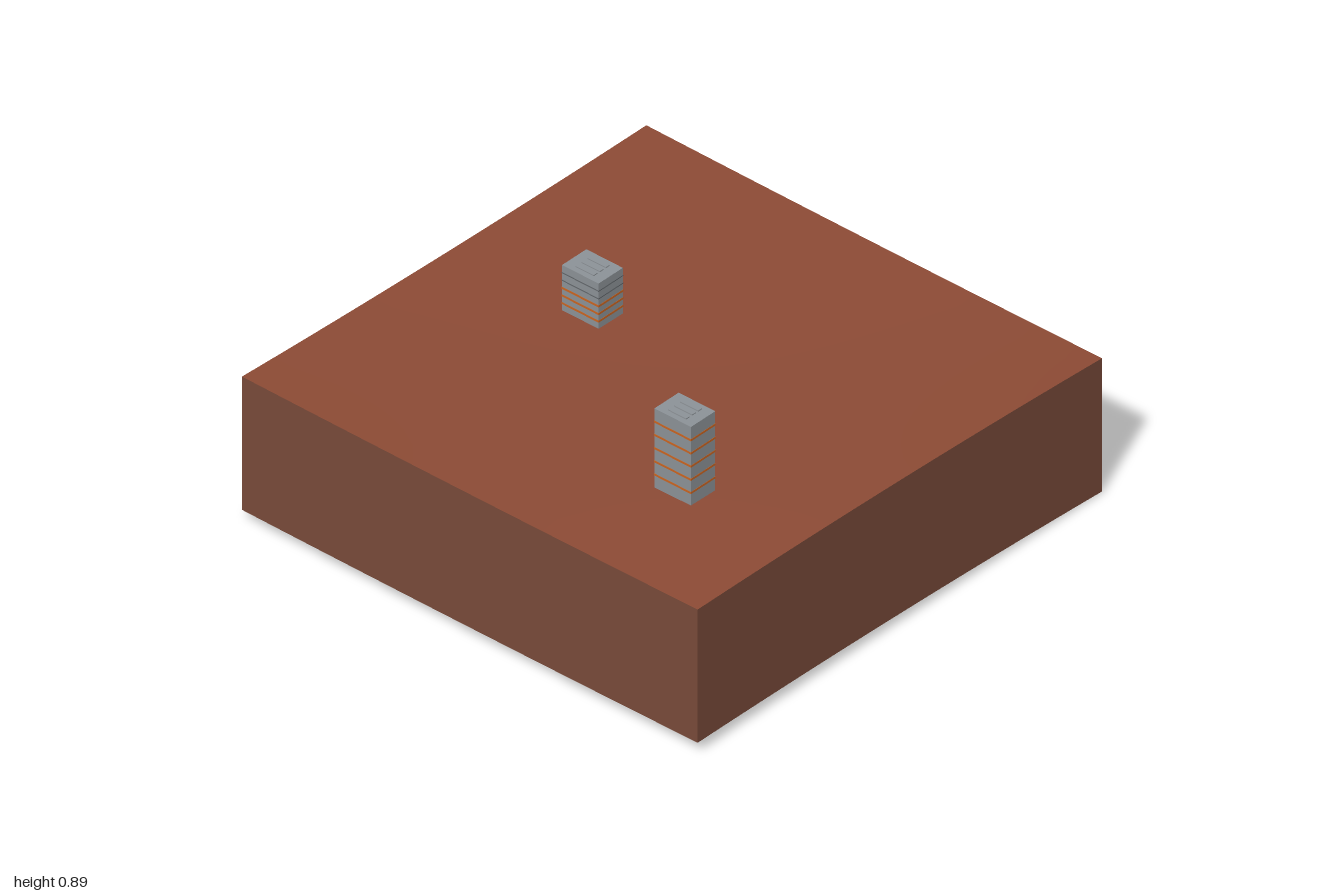
import * as THREE from 'three';

const DEPTH = 0.535;

// Gently rolling ground height
function height(x, z) {
  return 0.5625 - 0.0225 * x + (1 - x * x) * (0.013 * z + 0.001)
    - 0.012 * (1 - z * z) * (1 - 0.6 * x * x);
}

function mat(name, color, side = THREE.FrontSide) {
  const m = new THREE.MeshStandardMaterial({ color, side });
  m.name = name;
  return m;
}

function addMesh(parent, name, geometry, material) {
  const mesh = new THREE.Mesh(geometry, material);
  mesh.name = name;
  parent.add(mesh);
  return mesh;
}

function addBox(parent, name, size, pos, material) {
  addMesh(parent, name, new THREE.BoxGeometry(...size), material).position.set(...pos);
}

// Grid bent by a rule that maps each vertex in place
function bentPlane(nx, ny, rule) {
  const g = new THREE.PlaneGeometry(2, 2, nx, ny);
  const p = g.attributes.position;
  for (let i = 0; i < p.count; i++) p.setXYZ(i, ...rule(p.getX(i), p.getY(i)));
  g.computeVertexNormals();
  return g;
}

// Block of floors with a coloured band at each floor line and vents on the roof
function makeTower(name, x, z, floorHeight, orangeBands, m) {
  const tower = new THREE.Group();
  tower.name = name;
  const w = 0.12, d = 0.16, floors = 6, total = floors * floorHeight;
  addBox(tower, 'towerBody', [w, total, d], [0, total / 2, 0], m.concrete);
  for (let i = 1; i < floors; i++) {
    const lit = i <= orangeBands;
    addBox(tower, 'floorBand', [w + 0.002, lit ? 0.008 : 0.004, d + 0.002],
      [0, i * floorHeight, 0], lit ? m.orange : m.darkGrey);
  }
  for (let i = -1; i <= 1; i++) {
    addBox(tower, 'roofVent', [0.018, 0.004, 0.08], [i * 0.03, total + 0.002, 0], m.concrete);
  }
  tower.position.set(x, height(x, z), z);
  return tower;
}

export function createModel() {
  const model = new THREE.Group();
  model.name = 'terrainWithTowers';
  const m = {
    ground: mat('redEarth', 0x8f4c36, THREE.DoubleSide),
    wall: mat('brownEarth', 0x7a4b3a, THREE.DoubleSide),
    concrete: mat('concreteGrey', 0x8e9499),
    orange: mat('orange', 0xcc6622),
    darkGrey: mat('darkGrey', 0x62676b),
  };

  // Ground surface
  addMesh(model, 'ground', bentPlane(24, 24, (x, y) => [x, height(x, -y), -y]), m.ground);

  // Four side walls, open underneath, with a rim that follows the ground
  const walls = {
    frontWall: t => [t, 1], backWall: t => [-t, -1],
    leftWall: t => [1, -t], rightWall: t => [-1, t],
  };
  for (const [name, at] of Object.entries(walls)) {
    addMesh(model, name, bentPlane(24, 1, (t, v) => {
      const [x, z] = at(t);
      return [x, height(x, z) - (v < 0 ? DEPTH : 0), z];
    }), m.wall);
  }

  // Towers
  model.add(makeTower('tallTower', -0.5, 0.5, 0.053, 5, m));
  model.add(makeTower('shortTower', 0.08, -0.42, 0.0305, 3, m));
  return model;
}
